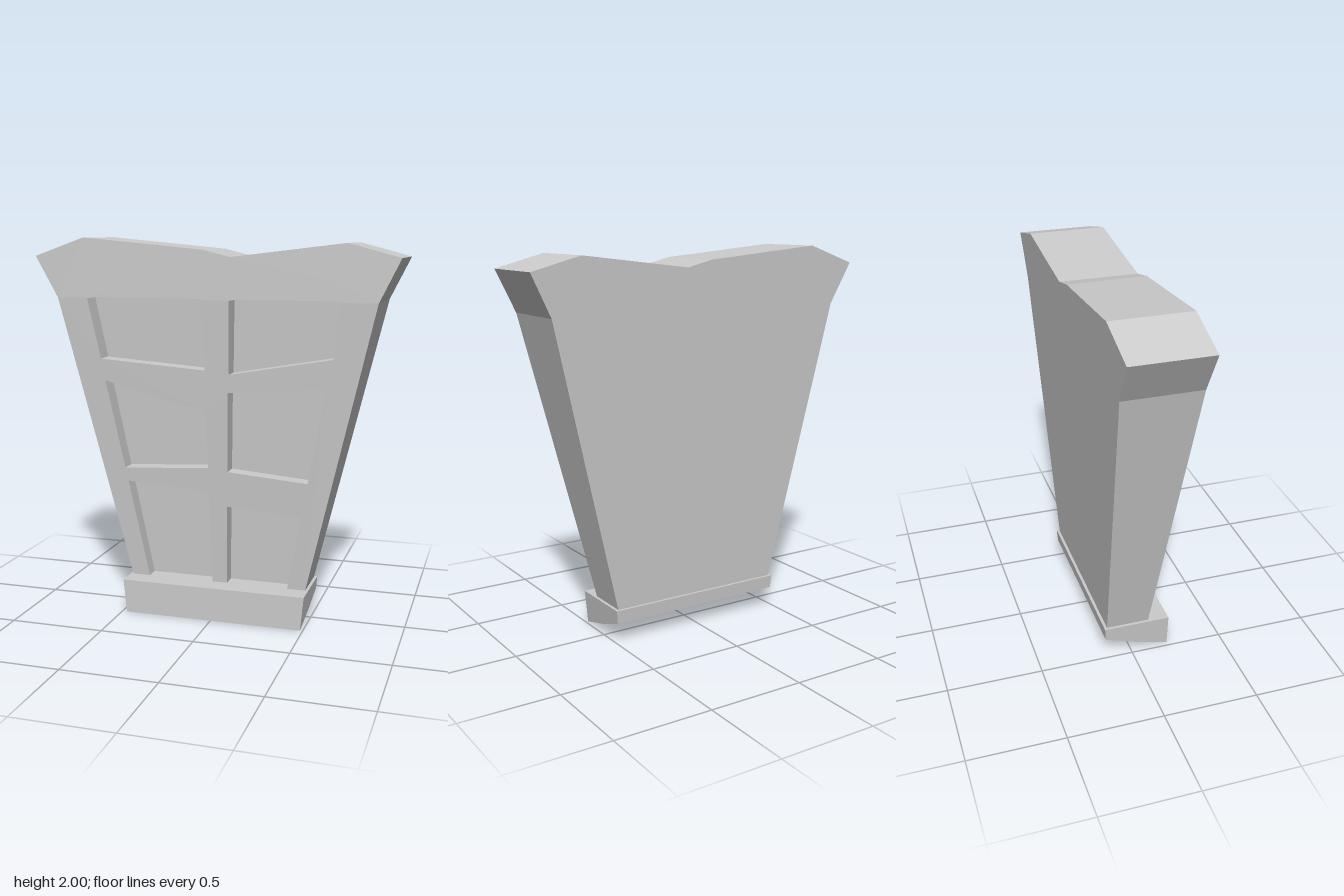
import * as THREE from 'three';

const material = new THREE.MeshStandardMaterial({ color: 0xcccccc, flatShading: true });
const BOTTOM = 0.18, BEND = 1.69;

// Depth profiles: the slab thickens upwards, its front turns upright at BEND
const rise = y => (Math.min(y, BEND) - BOTTOM) / (BEND - BOTTOM);
const frontZ = y => 0.095 + 0.11 * rise(y);
const floorZ = y => 0.02 + 0.08 * rise(y);
const backZ = y => -0.135 - 0.07 * (y - BOTTOM) / (2 - BOTTOM);

const points = list => list.map(([x, y]) => new THREE.Vector2(x, y));

function addMesh(group, geometry, name) {
  geometry.computeVertexNormals();
  const mesh = new THREE.Mesh(geometry, material);
  mesh.name = name;
  group.add(mesh);
}

// Extrude an outline in xy, then fit its two faces to the depth profiles
function addLayer(group, name, outline, zNear, zFar, holes = []) {
  const shape = new THREE.Shape(points(outline));
  holes.forEach(h => shape.holes.push(new THREE.Path(points(h))));
  const geometry = new THREE.ExtrudeGeometry(shape, { depth: 1, bevelEnabled: false });
  const p = geometry.attributes.position;
  for (let i = 0; i < p.count; i++) {
    const y = p.getY(i);
    p.setZ(i, p.getZ(i) > 0.5 ? zNear(y) : zFar(y));
  }
  addMesh(group, geometry, name);
}

export function createModel() {
  const group = new THREE.Group();
  group.name = 'panelledSlab';

  // Flared, uneven crown running from right to left
  const crown = [[0.845, BEND], [0.95, 1.905], [0.69, 1.975], [0.105, 1.905],
    [-0.035, 1.94], [-0.68, 2], [-0.95, 1.905], [-0.83, BEND]];

  // Solid core behind the lattice
  addLayer(group, 'lowerCore',
    [[-0.475, BOTTOM], [0.487, BOTTOM], [0.845, BEND], [-0.83, BEND]], floorZ, backZ);
  addLayer(group, 'upperCore', crown, floorZ, backZ);

  // Lattice below the bend: bottom and top windows are notches, middle ones holes
  addLayer(group, 'lowerLattice', [
    [-0.475, BOTTOM], [-0.38, BOTTOM], [-0.48, 0.715], [-0.03, 0.685], [-0.02, BOTTOM],
    [0.06, BOTTOM], [0.07, 0.61], [0.465, 0.585], [0.39, BOTTOM], [0.487, BOTTOM],
    [0.845, BEND],
    [0.663, BEND], [0.625, 1.41], [0.09, 1.315], [0.1, BEND],
    [-0.039, BEND], [-0.035, 1.333], [-0.605, 1.375], [-0.665, BEND],
    [-0.83, BEND],
  ], frontZ, floorZ, [
    [[-0.585, 1.26], [-0.035, 1.115], [-0.03, 0.815], [-0.495, 0.787]],
    [[0.085, 1.22], [0.595, 1.268], [0.5, 0.765], [0.075, 0.8]],
  ]);

  // Lattice above the bend, with the tips of the top windows
  addLayer(group, 'upperLattice', [...crown,
    [-0.665, BEND], [-0.04, 1.78], [-0.039, BEND],
    [0.1, BEND], [0.675, 1.78], [0.663, BEND],
  ], frontZ, floorZ);

  // Base: side profile with a sloping underside, swept across x and narrowed downwards
  const profile = [[0.205, 0], [0.02, 0.05], [-0.145, 0.11], [-0.15, BOTTOM], [0.205, BOTTOM]];
  const base = new THREE.ExtrudeGeometry(
    new THREE.Shape(points(profile.map(([z, y]) => [-z, y]))), { depth: 1, bevelEnabled: false });
  base.rotateY(Math.PI / 2);
  const p = base.attributes.position;
  for (let i = 0; i < p.count; i++) {
    const half = 0.48 + 0.017 * p.getY(i) / BOTTOM;
    p.setX(i, 0.006 + (p.getX(i) > 0.5 ? half : -half));
  }
  addMesh(group, base, 'base');

  return group;
}
